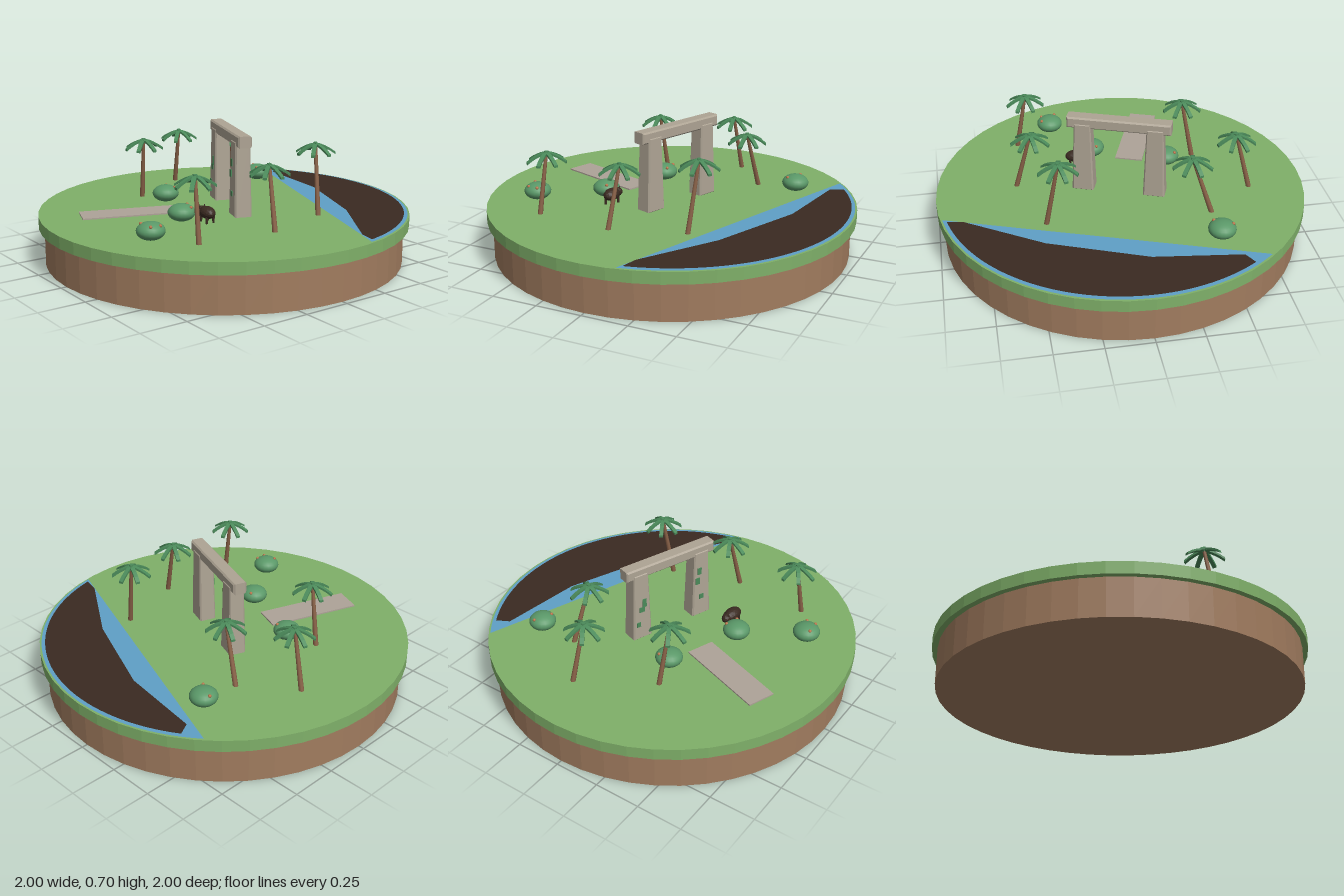
import * as THREE from 'three';

const mat = (name, color, extra = {}) => {
  const m = new THREE.MeshStandardMaterial({ color, ...extra });
  m.name = name;
  return m;
};

export function createModel() {
  const flat = { flatShading: true };
  const grass = mat('grass', 0x7fb069, flat);
  const dirt = mat('dirt', 0xa17c5f, flat);
  const water = mat('water', 0x5fa0c6);
  const mud = mat('darkMud', 0x3a2a21, flat);
  const stone = mat('stone', 0xaea494, flat);
  const paving = mat('paving', 0xaea398, flat);
  const bark = mat('bark', 0x8a6248);
  const leaf = mat('leaf', 0x4b8a5a, flat);
  const shrub = mat('shrub', 0x5a9868);
  const berry = mat('berry', 0xb9764c);

  const root = new THREE.Group();
  root.name = 'islandDiorama';
  const TOP = 0.267;
  const TURN = -0.35; // shared heading of the arch and the path

  function add(parent, name, geo, material, x = 0, y = 0, z = 0) {
    const mesh = new THREE.Mesh(geo, material);
    mesh.name = name;
    mesh.position.set(x, y, z);
    parent.add(mesh);
    return mesh;
  }
  function group(name, x = 0, y = 0, z = 0, turn = 0) {
    const g = new THREE.Group();
    g.name = name;
    g.position.set(x, y, z);
    g.rotation.y = turn;
    root.add(g);
    return g;
  }

  // Round island
  add(root, 'dirtBase', new THREE.CylinderGeometry(0.97, 0.97, 0.205, 48), dirt, 0, 0.1025, 0);
  add(root, 'grassTop', new THREE.CylinderGeometry(1, 1, TOP - 0.203, 48), grass, 0, (TOP + 0.203) / 2, 0);

  // Flat ground patches: a rim arc closed by inner points given as (x, z)
  function patch(name, material, radius, a0, a1, inner, y) {
    const s = new THREE.Shape();
    s.absarc(0, 0, radius, a0, a1, false);
    inner.forEach(([x, z]) => s.lineTo(x, -z));
    s.closePath();
    add(root, name, new THREE.ShapeGeometry(s, 40).rotateX(-Math.PI / 2), material, 0, y, 0);
  }
  patch('pond', water, 0.989, 0.18, 2.27, [], TOP + 0.002);
  patch('mudBank', mud, 0.97, 0.208, 2.156,
    [[-0.5, -0.74], [-0.04, -0.68], [0.465, -0.476], [0.86, -0.22]], TOP + 0.005);

  // Paved path
  add(root, 'path', new THREE.BoxGeometry(0.153, 0.009, 0.52), paving, -0.18, TOP + 0.003, 0.49).rotation.y = TURN;

  // Box with chamfered front and back edges
  function bevelBox(w, h, d, b) {
    const x = w / 2 - b, y = h / 2 - b;
    const s = new THREE.Shape([[-x, -y], [x, -y], [x, y], [-x, y]].map(p => new THREE.Vector2(...p)));
    return new THREE.ExtrudeGeometry(s, {
      depth: d - 2 * b, bevelSize: b, bevelThickness: b, bevelSegments: 1,
    }).translate(0, 0, b - d / 2);
  }

  // Stone arch: two tapered pillars and a lintel
  const arch = group('stoneArch', 0.01, 0, -0.035, TURN);
  const H = 0.407;
  for (const side of [-1, 1]) {
    const geo = bevelBox(0.118, H, 0.094, 0.008);
    const p = geo.attributes.position;
    for (let i = 0; i < p.count; i++) {
      const t = p.getY(i) / H + 0.5;
      p.setX(i, p.getX(i) * (1 - 0.24 * t));
      p.setZ(i, p.getZ(i) * (1 - 0.14 * t));
    }
    geo.computeVertexNormals();
    add(arch, side < 0 ? 'rightPillar' : 'leftPillar', geo, stone, side * 0.194, 0.262 + H / 2, 0);
  }
  add(arch, 'lintel', bevelBox(0.558, 0.062, 0.074, 0.008), stone, 0, 0.672, 0);
  // Moss patches on the pillar fronts: x, y, width, height
  [[-0.181, 0.487, 0.025, 0.05], [-0.196, 0.45, 0.032, 0.03], [-0.22, 0.36, 0.025, 0.028],
    [0.179, 0.55, 0.024, 0.04], [0.167, 0.49, 0.026, 0.04], [0.19, 0.385, 0.028, 0.028]]
    .forEach(([x, y, w, h]) => {
      const z = 0.047 * (1 - 0.14 * (y - 0.262) / H);
      add(arch, 'mossPatch', new THREE.BoxGeometry(w, h, 0.008), leaf, x, y, z);
    });

  // Drooping frond, bent along its length
  const frondGeo = new THREE.BoxGeometry(0.105, 0.012, 0.022, 4, 1, 1).translate(0.0525, 0, 0);
  const fp = frondGeo.attributes.position;
  for (let i = 0; i < fp.count; i++) {
    const t = fp.getX(i) / 0.105;
    fp.setY(i, fp.getY(i) - 0.015 * t - 0.033 * t * t);
  }
  frondGeo.computeVertexNormals();

  // Leaning palms: base x, z then crown x, height, z
  [[-0.43, -0.34, -0.326, 0.59, -0.305], [0.44, -0.297, 0.374, 0.645, -0.326],
    [-0.69, -0.135, -0.61, 0.592, -0.112], [0.56, 0.09, 0.476, 0.598, 0.064],
    [-0.458, 0.24, -0.396, 0.612, 0.262], [0.515, 0.52, 0.46, 0.597, 0.503]]
    .forEach(([bx, bz, cx, cy, cz], n) => {
      const palm = group('palm');
      const base = new THREE.Vector3(bx, TOP - 0.005, bz);
      const crown = new THREE.Vector3(cx, cy - 0.008, cz);
      const axis = crown.clone().sub(base);
      const trunk = add(palm, 'trunk', new THREE.CylinderGeometry(0.009, 0.014, axis.length(), 8), bark);
      trunk.position.copy(base).addScaledVector(axis, 0.5);
      trunk.quaternion.setFromUnitVectors(new THREE.Vector3(0, 1, 0), axis.normalize());
      add(palm, 'crownHub', new THREE.CylinderGeometry(0.011, 0.013, 0.02, 8), leaf, cx, cy - 0.008, cz);
      for (let i = 0; i < 7; i++) {
        const frond = add(palm, 'frond', frondGeo, leaf, cx, cy - 0.008, cz);
        frond.rotation.y = i * Math.PI * 2 / 7 + (n % 3) * 0.07;
      }
    });

  // Berry bushes: x, z then berry offsets on the upper surface
  const bushGeo = new THREE.SphereGeometry(1, 20, 14).scale(0.073, 0.046, 0.073);
  const berryGeo = new THREE.SphereGeometry(0.009, 8, 6);
  [[-0.428, -0.56, [[-0.054, -0.01], [0.038, 0.033]]],
    [-0.294, 0.187, [[-0.043, -0.033], [0.038, -0.035]]],
    [0.107, 0.348, [[-0.022, -0.05], [0.047, -0.028]]],
    [0.31, 0.663, [[0.048, -0.026], [0.045, 0.028], [-0.032, 0.036]]]]
    .forEach(([x, z, berries]) => {
      const bush = group('bush', x, 0.312, z);
      add(bush, 'foliage', bushGeo, shrub);
      berries.forEach(([dx, dz]) => {
        const up = Math.sqrt(1 - (dx * dx + dz * dz) / 0.073 ** 2);
        add(bush, 'berry', berryGeo, berry, dx, 0.046 * up, dz);
      });
    });

  // Small shaggy animal facing the right side
  const animal = group('animal', 0.21, 0, 0.258, -0.1);
  add(animal, 'body', new THREE.IcosahedronGeometry(1, 2).scale(0.058, 0.033, 0.038), mud, 0, 0.319, 0);
  add(animal, 'head', new THREE.IcosahedronGeometry(0.026, 1), mud, -0.056, 0.318, 0);
  for (const sx of [-1, 1]) {
    for (const sz of [-1, 1]) {
      add(animal, 'leg', new THREE.CylinderGeometry(0.008, 0.007, 0.045, 6), mud, sx * 0.03, 0.287, sz * 0.02);
    }
  }
  for (const sz of [-1, 1]) {
    add(animal, 'ear', new THREE.ConeGeometry(0.007, 0.018, 5), mud, -0.054, 0.344, sz * 0.014);
  }

  return root;
}
